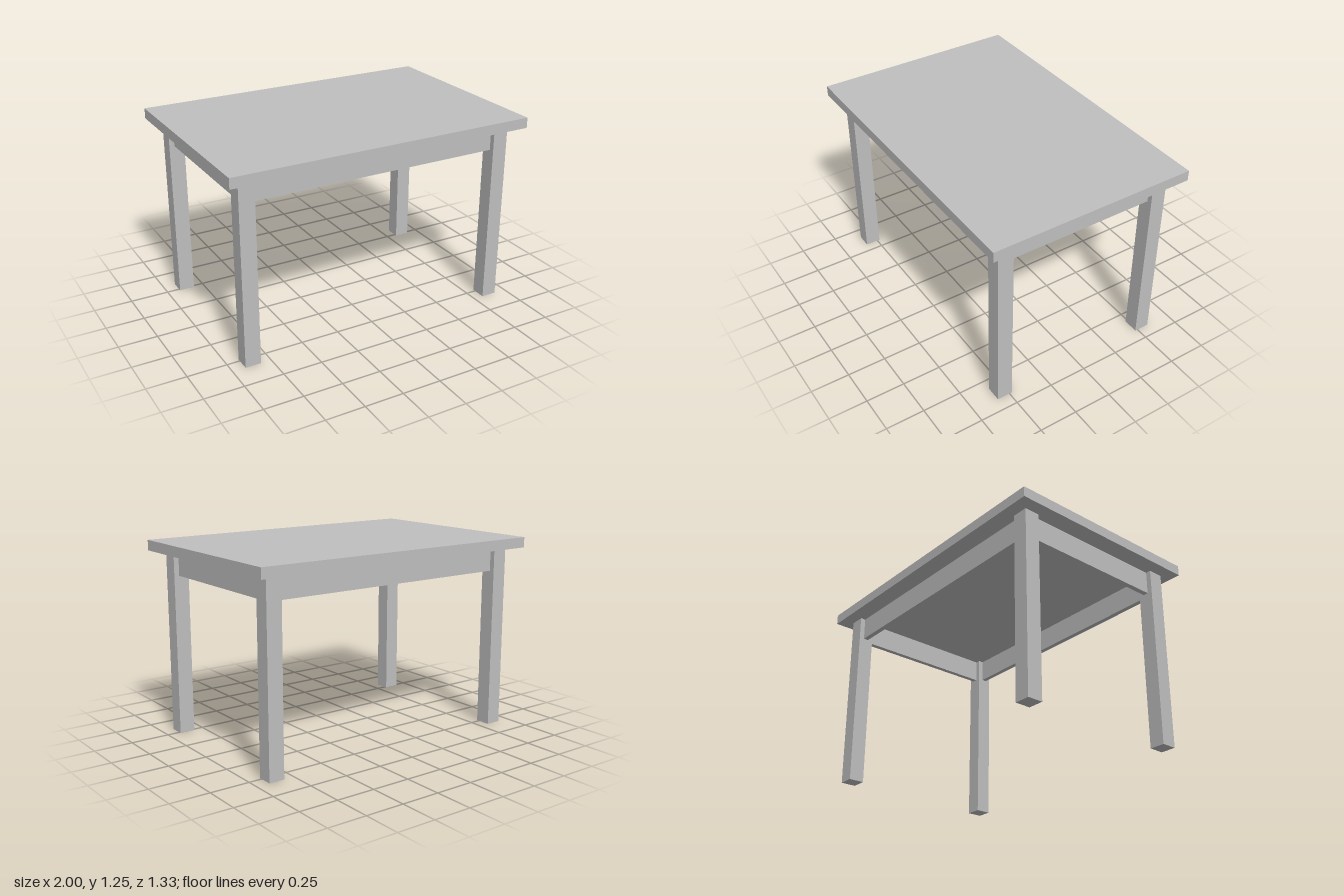
import * as THREE from 'three';

export function createModel() {
  const table = new THREE.Group();
  table.name = 'table';
  const grey = new THREE.MeshStandardMaterial({ color: 0xbfbfbf });
  grey.name = 'light grey';

  const box = (name, w, h, d, x, y, z) => {
    const mesh = new THREE.Mesh(new THREE.BoxGeometry(w, h, d), grey);
    mesh.name = name;
    mesh.position.set(x, y, z);
    table.add(mesh);
  };

  const height = 1.25, topThick = 0.0667, under = height - topThick;
  const leg = 0.1, legX = 0.867, legZ = 0.533;
  const apronH = 0.15, apronThick = 0.033, apronY = under - apronH / 2;

  // Table top
  box('tableTop', 2, topThick, 1.333, 0, height - topThick / 2, 0);

  // Four square legs
  for (const [sx, side] of [[1, 'Left'], [-1, 'Right']]) {
    for (const [sz, end] of [[1, 'front'], [-1, 'back']]) {
      box(`${end}${side}Leg`, leg, under, leg, sx * legX, under / 2, sz * legZ);
    }
  }

  // Thin aprons centred on the legs, spanning between them
  for (const [s, longName, shortName] of [[1, 'frontApron', 'leftApron'], [-1, 'backApron', 'rightApron']]) {
    box(longName, 2 * legX - leg, apronH, apronThick, 0, apronY, s * legZ);
    box(shortName, apronThick, apronH, 2 * legZ - leg, s * legX, apronY, 0);
  }
  return table;
}
